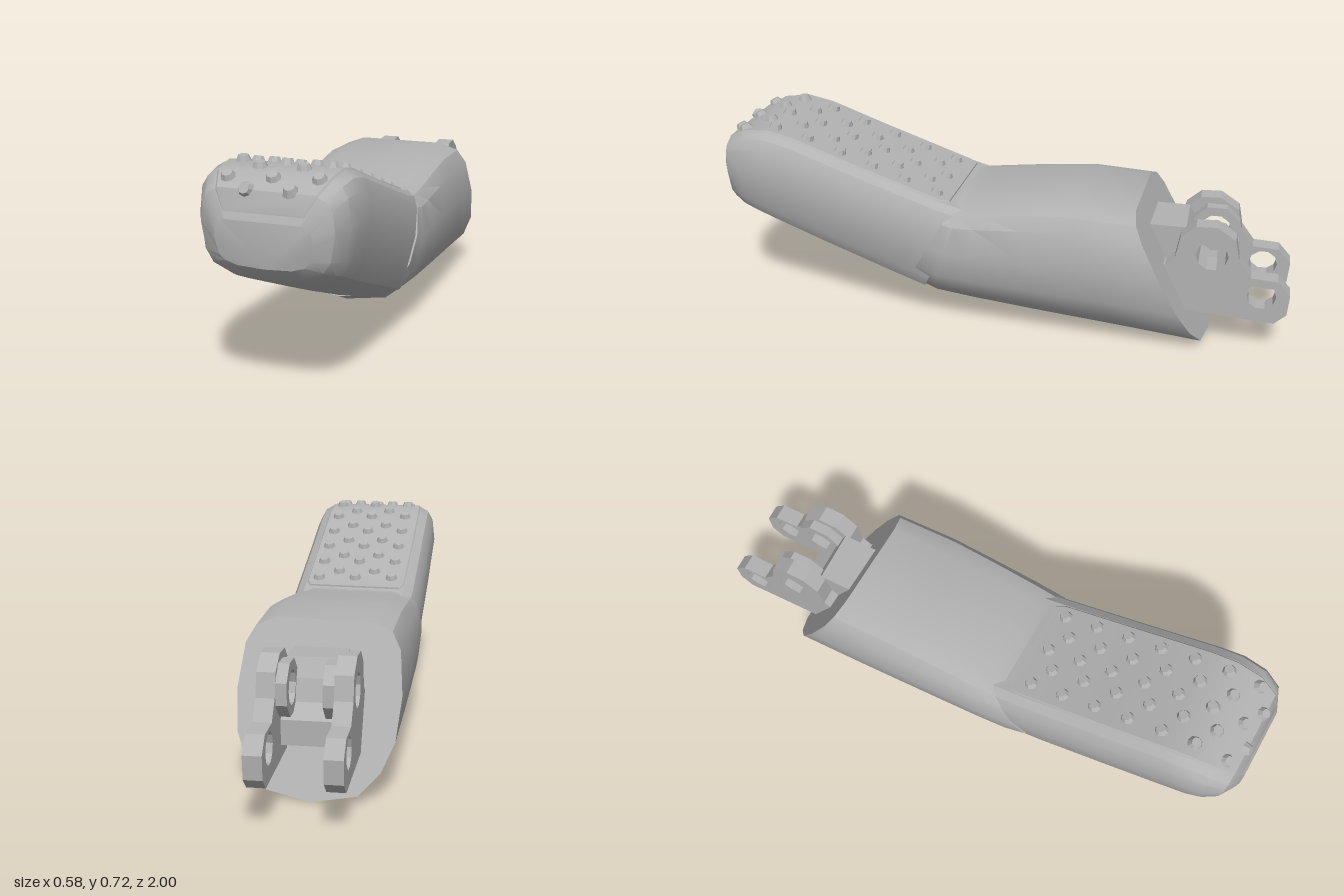
import * as THREE from 'three';
import { toCreasedNormals } from 'three/addons/utils/BufferGeometryUtils.js';

const YAW = 0.055;                       // the whole finger is turned slightly
const centreX = z => YAW * z;
const lerp = THREE.MathUtils.lerp;

// Half cross-sections: [height fraction, width fraction], bottom to top
const BASE_SECTION = [[0.05, 0.55], [0.18, 0.8], [0.35, 0.95], [0.6, 1], [0.85, 0.95], [0.95, 0.84], [1, 0.6]];
const TIP_SECTION = [[0.03, 0.55], [0.12, 0.82], [0.25, 0.93], [0.6, 1], [0.85, 0.97], [0.95, 0.89], [1, 0.77]];

// Stations: [bottom z, bottom y, top z, top y, half width], back to front
const BASE = [
  [-0.73, 0.005, -0.47, 0.52, 0.265],
  [-0.45, 0.033, -0.25, 0.53, 0.266],
  [-0.15, 0.06, -0.08, 0.512, 0.262],
  [0.1, 0.085, 0.06, 0.493, 0.258],
  [0.24, 0.102, 0.12, 0.485, 0.254],
  [0.34, 0.145, 0.15, 0.485, 0.248],
];
const TIP = [
  [0.28, 0.125, 0.1, 0.47, 0.24],
  [0.38, 0.165, 0.2, 0.497, 0.243],
  [0.6, 0.25, 0.5, 0.6, 0.243],
  [0.8, 0.33, 0.72, 0.68, 0.243],
  [0.88, 0.365, 0.81, 0.7, 0.242],
  [0.92, 0.385, 0.9, 0.69, 0.232],
  [0.96, 0.41, 0.965, 0.655, 0.205],
  [0.985, 0.44, 1.0, 0.58, 0.15],
];

// Closed loft through tilted cross-sections
function loft(stations, section) {
  const half = [...section];
  const loop = [[0, 0], ...half, ...half.map(([t, w]) => [t, -w]).reverse()];
  const n = loop.length, pos = [], index = [];
  for (const [zb, yb, zt, yt, w] of stations) {
    for (const [t, f] of loop) {
      const z = lerp(zb, zt, t);
      pos.push(centreX(z) + f * w, lerp(yb, yt, t), z);
    }
  }
  const last = (stations.length - 1) * n;
  for (let s = 0; s < last; s += n) {
    for (let j = 0; j < n; j++) {
      const k = (j + 1) % n;
      index.push(s + j, s + k, s + n + k, s + j, s + n + k, s + n + j);
    }
  }
  for (let j = 1; j < n - 1; j++) {
    index.push(0, j + 1, j, last, last + j, last + j + 1);
  }
  const g = new THREE.BufferGeometry();
  g.setAttribute('position', new THREE.Float32BufferAttribute(pos, 3));
  g.setIndex(index);
  return toCreasedNormals(g, 0.5);
}

// Height and slope of the top of the fingertip
function topAt(z) {
  let i = 0;
  while (i < TIP.length - 2 && TIP[i + 1][2] < z) i++;
  const [, , z0, y0] = TIP[i], [, , z1, y1] = TIP[i + 1];
  const slope = (y1 - y0) / (z1 - z0);
  return { y: y0 + slope * (z - z0), slope };
}

// Outline in (z, y) extruded across x, centred on x = 0
function sidePlate(points, width, holes = []) {
  const shape = new THREE.Shape(points.map(p => new THREE.Vector2(...p)));
  for (const [z, y, r] of holes) {
    const hole = new THREE.Path();
    hole.absarc(z, y, r, 0, Math.PI * 2, true);
    shape.holes.push(hole);
  }
  const g = new THREE.ExtrudeGeometry(shape, { depth: width, bevelEnabled: false, curveSegments: 5 });
  g.translate(0, 0, -width / 2);
  return g.rotateY(-Math.PI / 2);
}

export function createModel() {
  const model = new THREE.Group();
  model.name = 'finger';
  const grey = new THREE.MeshStandardMaterial({ color: 0xb2b2b2 });
  grey.name = 'grey';
  const add = (parent, geometry, name) => {
    const mesh = new THREE.Mesh(geometry, grey);
    mesh.name = name;
    parent.add(mesh);
    return mesh;
  };

  // Two body segments, the tip seated inside the base shell
  add(model, loft(BASE, BASE_SECTION), 'baseShell');
  add(model, loft(TIP, TIP_SECTION), 'fingertip');

  // Thin raised grip pad along the top of the tip
  const pad = [[0.17, 0.17], [0.2, 0.185], [0.5, 0.187], [0.72, 0.187], [0.81, 0.185], [0.9, 0.177], [0.965, 0.155], [0.99, 0.125]]
    .map(([z, w]) => [z, topAt(z).y - 0.01, z, topAt(z).y + 0.006, w]);
  add(model, loft(pad, [[0, 1], [0.6, 1], [1, 0.97]]), 'gripPad');

  // Staggered rows of three and two grip studs
  const studs = new THREE.Group();
  studs.name = 'gripStuds';
  model.add(studs);
  const studGeometry = new THREE.CylinderGeometry(0.016, 0.026, 0.022, 8).toNonIndexed();
  studGeometry.computeVertexNormals();
  const stud = (x, z) => {
    const { y, slope } = topAt(z);
    const mesh = add(studs, studGeometry, 'gripStud');
    mesh.position.set(centreX(z) + 0.005 + x, y + 0.011, z);
    mesh.rotation.x = -Math.atan(slope);
  };
  for (let row = 0; row < 7; row++) {
    const z = 0.228 + row * 0.115;
    for (const x of [-0.137, 0, 0.137]) stud(x, z - x * YAW);
    for (const x of [-0.067, 0.067]) stud(x, z + 0.045 - x * YAW);
  }

  // Hinge: two pierced lugs, inner collars and a web between them
  const hinge = new THREE.Group();
  hinge.name = 'hinge';
  hinge.rotation.y = YAW;
  model.add(hinge);
  const upper = [-0.725, 0.37, 0.055], lower = [-0.9, 0.235, 0.05];
  const lug = sidePlate([
    [-0.5, 0.33], [-0.57, 0.32], [-0.6, 0.345], [-0.615, 0.43], [-0.665, 0.475], [-0.735, 0.478], [-0.8, 0.435],
    [-0.815, 0.36], [-0.86, 0.3], [-0.95, 0.295], [-0.995, 0.245], [-0.99, 0.17], [-0.95, 0.132],
    [-0.66, 0.15], [-0.5, 0.15],
  ], 0.058, [upper, lower]);
  const ring = Array.from({ length: 8 }, (_, i) => {
    const a = (i + 0.5) * Math.PI / 4;
    return [upper[0] + 0.09 * Math.cos(a), upper[1] + 0.09 * Math.sin(a)];
  });
  const collar = sidePlate(ring, 0.035, [upper]);
  for (const side of [-1, 1]) {
    add(hinge, lug, side > 0 ? 'leftLug' : 'rightLug').position.x = side * 0.117;
    add(hinge, collar, side > 0 ? 'leftCollar' : 'rightCollar').position.x = side * 0.071;
  }
  add(hinge, sidePlate([
    [-0.5, 0.44], [-0.63, 0.44], [-0.66, 0.38], [-0.68, 0.31], [-0.74, 0.27], [-0.74, 0.19], [-0.6, 0.17], [-0.5, 0.17],
  ], 0.18), 'hingeWeb');

  return model;
}
